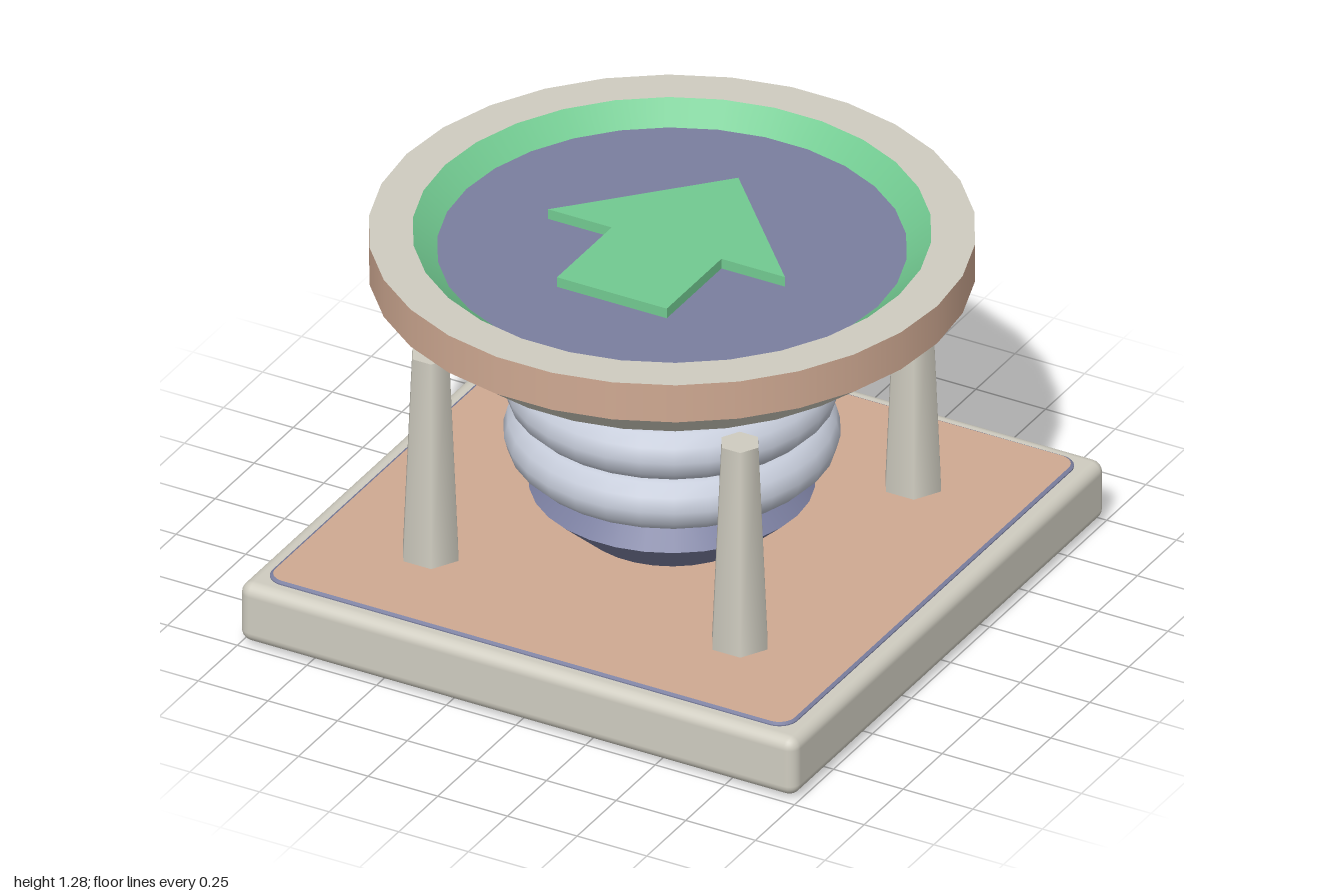
import * as THREE from 'three';
import { RoundedBoxGeometry } from 'three/addons/geometries/RoundedBoxGeometry.js';

const SIDES = 30;

const material = (name, color) => {
  const m = new THREE.MeshStandardMaterial({ color });
  m.name = name;
  return m;
};

export function createModel() {
  const cream = material('cream', 0xcfccc0);
  const tan = material('tan', 0xcfa992);
  const blue = material('slate blue', 0x7a7e9f);
  const silver = material('silver', 0xc6ccda);
  const green = material('green', 0x72ca91);

  const group = new THREE.Group();
  group.name = 'springPad';

  const add = (name, geometry, mat, x = 0, y = 0, z = 0) => {
    const mesh = new THREE.Mesh(geometry, mat);
    mesh.name = name;
    mesh.position.set(x, y, z);
    group.add(mesh);
    return mesh;
  };

  // Revolved surface; the profile runs counter-clockwise (up the outside, down the inside)
  const turn = (name, mat, points) => add(name, new THREE.LatheGeometry(
    points.map(([r, y]) => new THREE.Vector2(r, y)), SIDES, Math.PI / 2), mat);

  // Base block
  add('base', new RoundedBoxGeometry(2, 0.21, 2, 3, 0.04), cream, 0, 0.12, 0);

  // Inlaid plate through the base: tan faces with a blue bevelled edge
  const h = 0.932, r = 0.055;
  const plate = new THREE.Shape();
  plate.absarc(h - r, h - r, r, 0, Math.PI / 2);
  plate.absarc(r - h, h - r, r, Math.PI / 2, Math.PI);
  plate.absarc(r - h, r - h, r, Math.PI, Math.PI * 1.5);
  plate.absarc(h - r, r - h, r, Math.PI * 1.5, Math.PI * 2);
  const plateGeometry = new THREE.ExtrudeGeometry(plate, {
    depth: 0.223, bevelEnabled: true, bevelSize: 0.01, bevelThickness: 0.006,
    bevelSegments: 1, curveSegments: 5,
  });
  plateGeometry.rotateX(-Math.PI / 2);
  add('basePlate', plateGeometry, [tan, blue], 0, 0.006, 0);

  // Six-sided tapered corner posts
  for (const x of [-0.555, 0.555]) {
    for (const z of [-0.555, 0.555]) {
      const post = new THREE.CylinderGeometry(0.066, 0.1, 0.73, 6);
      post.rotateY(Math.PI / 2);
      add('post', post, cream, x, 0.595, z);
    }
  }

  // Core: double cone at the foot, then a shaft inside the coils
  turn('coreLower', blue, [[0.29, 0.23], [0.45, 0.375]]);
  turn('coreUpper', blue, [[0.45, 0.375], [0.345, 0.475]]);
  turn('coreShaft', blue, [[0.36, 0.46], [0.36, 1.02]]);

  // Stacked spring coils
  for (let i = 0; i < 3; i++) {
    const coil = new THREE.TorusGeometry(0.435, 0.095, 12, SIDES);
    coil.rotateX(Math.PI / 2);
    add('coil', coil, silver, 0, 0.565 + i * 0.18, 0);
  }

  // Dish, from its underside round to the sunken floor
  turn('dishUnderside', blue, [[0, 1.015], [0.78, 1.015]]);
  turn('dishSlope', cream, [[0.78, 1.015], [0.953, 1.15]]);
  turn('dishBand', tan, [[0.953, 1.15], [0.953, 1.285]]);
  turn('dishRim', cream, [[0.953, 1.285], [0.815, 1.285]]);
  turn('dishInnerWall', green, [[0.815, 1.285], [0.738, 1.22]]);
  turn('dishFloor', blue, [[0.738, 1.22], [0, 1.22]]);

  // Raised arrow pointing to the back
  const arrow = new THREE.Shape([
    [0, 0.425], [-0.425, -0.035], [-0.197, -0.035], [-0.197, -0.385],
    [0.197, -0.385], [0.197, -0.035], [0.425, -0.035],
  ].map(([x, y]) => new THREE.Vector2(x, y)));
  const arrowGeometry = new THREE.ExtrudeGeometry(arrow, { depth: 0.035, bevelEnabled: false });
  arrowGeometry.rotateX(-Math.PI / 2);
  add('arrow', arrowGeometry, green, 0, 1.22, 0);

  return group;
}
